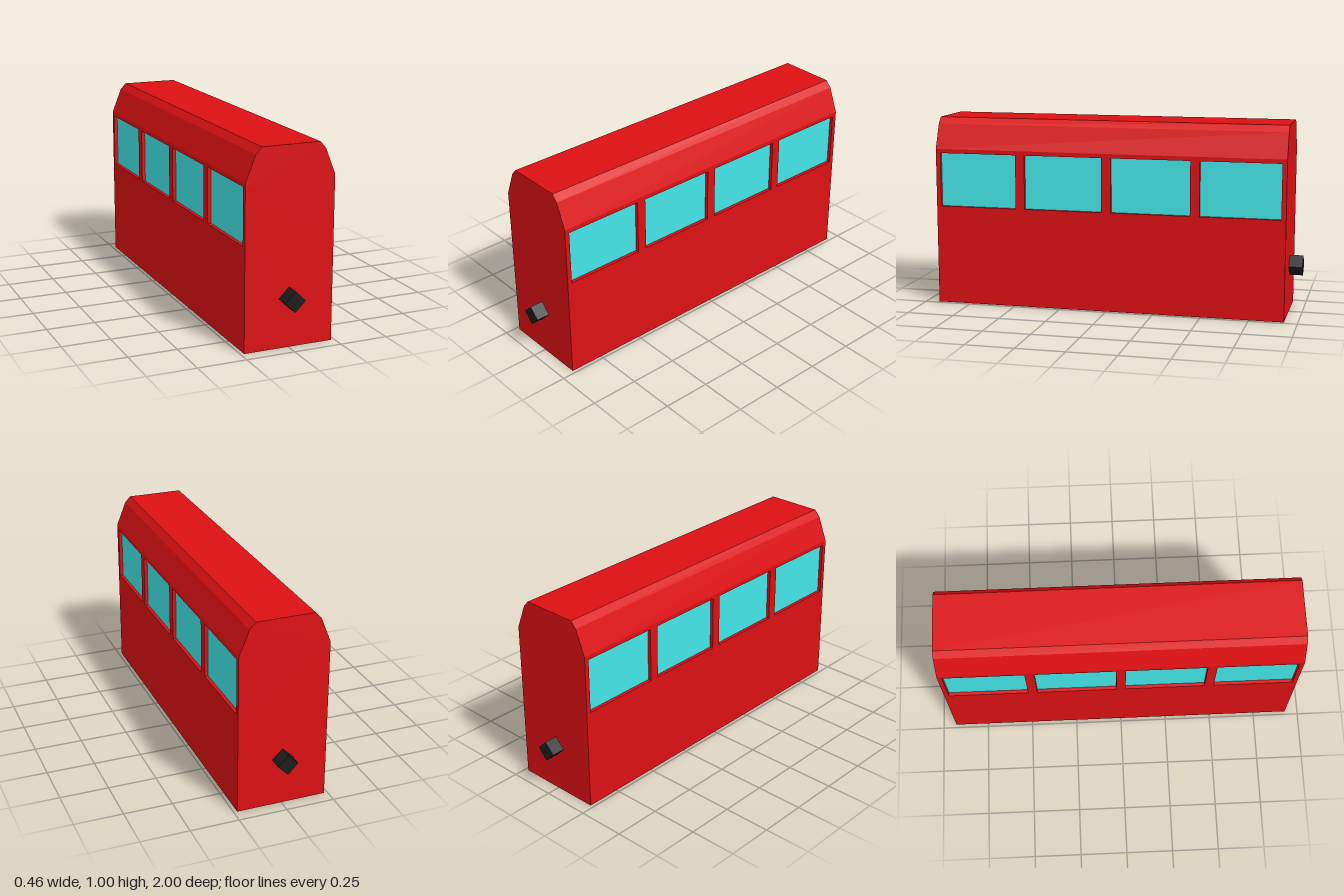
import * as THREE from 'three';

const HALF_W = 0.232, HALF_L = 0.93, RECESS = 0.02;
const SILL = 0.525, LINTEL = 0.81;
const PITCH = 0.465, WINDOW_W = 0.416;

export function createModel() {
  const group = new THREE.Group();
  const paint = (color) => new THREE.MeshStandardMaterial({ color, flatShading: true });
  const red = paint(0xdd1014), glass = paint(0x44e6e8), black = paint(0x1c1c1c);

  const add = (name, geometry, material, x, y, z) => {
    const mesh = new THREE.Mesh(geometry, material);
    mesh.name = name;
    mesh.position.set(x, y, z);
    group.add(mesh);
    return mesh;
  };

  // Body: mirrored cross-section with a groove along each side for the windows
  const inner = HALF_W - RECESS;
  const half = [
    [HALF_W, 0], [HALF_W, SILL], [inner, SILL], [inner, LINTEL], [HALF_W, LINTEL],
    [HALF_W, 0.832], [0.18, 0.962], [0.15, 0.995],
  ];
  const outline = [...half, ...half.map(([x, y]) => [-x, y]).reverse()];
  const section = new THREE.Shape(outline.map(([x, y]) => new THREE.Vector2(x, y)));
  const bodyGeometry = new THREE.ExtrudeGeometry(section, { depth: 2 * HALF_L, bevelEnabled: false });
  add('carriageBody', bodyGeometry, red, 0, 0, -HALF_L);

  const bandY = (SILL + LINTEL) / 2, bandH = LINTEL - SILL;
  const endPillar = HALF_L - 1.5 * PITCH - WINDOW_W / 2;
  for (const side of [1, -1]) {
    // Pillars fill the groove between the windows and at both ends
    for (let i = -2; i <= 2; i++) {
      const isEnd = Math.abs(i) === 2;
      const width = isEnd ? endPillar : PITCH - WINDOW_W;
      const z = isEnd ? Math.sign(i) * (HALF_L - endPillar / 2) : i * PITCH;
      add('windowPillar', new THREE.BoxGeometry(RECESS, bandH, width), red,
        side * (HALF_W - RECESS / 2), bandY, z);
    }
    // Recessed window panes
    for (let i = 0; i < 4; i++) {
      const pane = add('windowPane', new THREE.PlaneGeometry(WINDOW_W, bandH), glass,
        side * (inner + 0.002), bandY, (i - 1.5) * PITCH);
      pane.rotation.y = side * Math.PI / 2;
    }
  }

  // Diamond-shaped couplers at both ends
  for (const end of [1, -1]) {
    const geometry = new THREE.CylinderGeometry(0.053, 0.053, 0.08, 4).rotateX(Math.PI / 2);
    add(end > 0 ? 'frontCoupler' : 'rearCoupler', geometry, black, 0, 0.25, end * 0.96);
  }
  return group;
}
